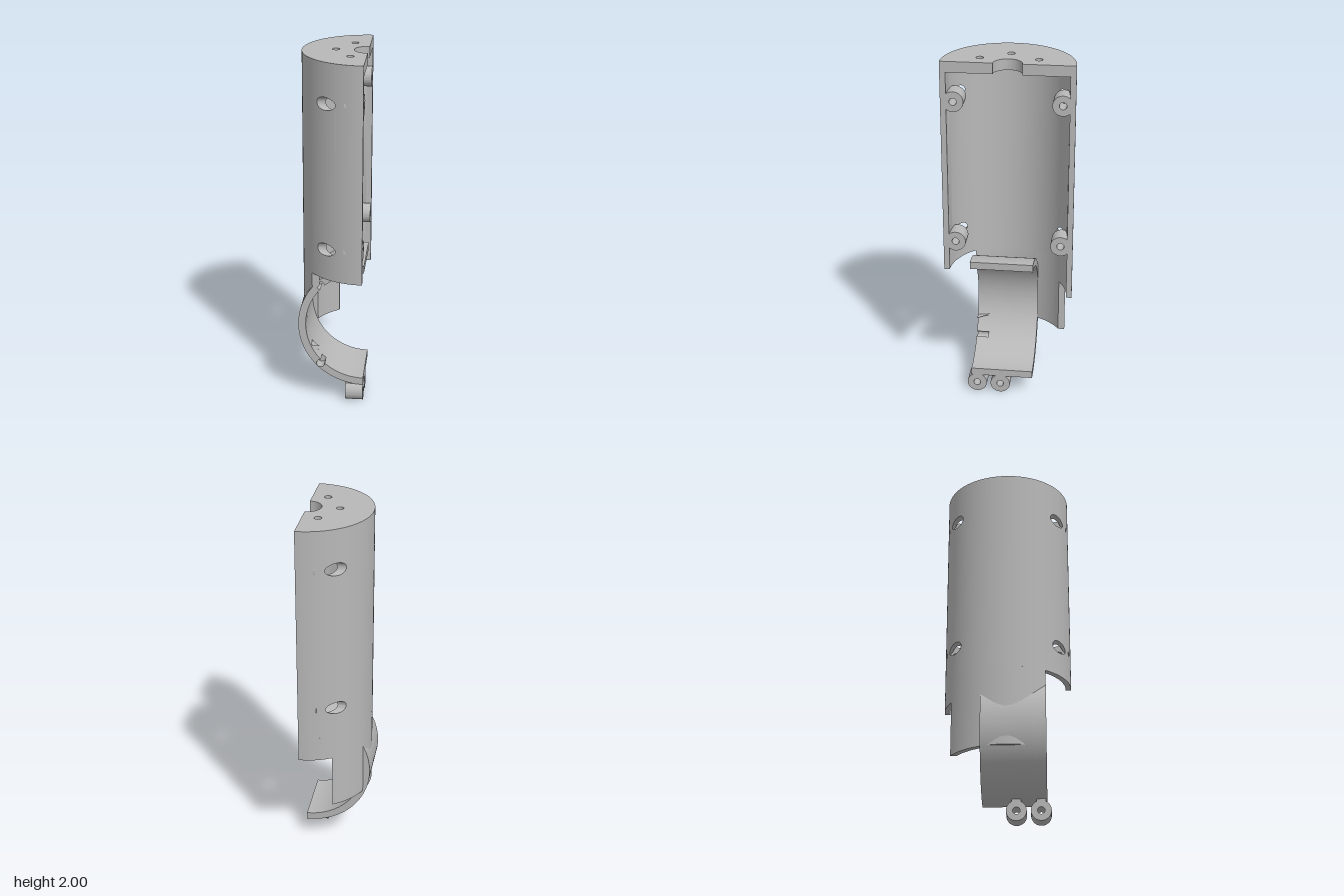
import * as THREE from 'three';
import { mergeGeometries, toCreasedNormals } from 'three/addons/utils/BufferGeometryUtils.js';

const AX = 0.18;                       // x of the cut plane and of both axes
const RO = 0.357, RI = 0.326;          // housing wall radii
const TOP = 2, SEAM = 0.79, FOOT = 0.34;
const CY = 0.473, CO = 0.367, CI = 0.325, CZ0 = -0.14, CZ1 = 0.213; // clamp ring
const SCREW_Y = [0.965, 1.78], SCREW_Z = 0.29, BORE = 0.035;
const HALF = Math.PI / 2;

// Wall edges: each returns the angle at which a plane cuts radius R
const atZ = z => R => Math.asin(Math.max(-1, Math.min(1, z / R)));
const atBackX = x => R => -Math.acos((AX - x) / R);
const atAngle = a => () => a;

// Curved wall block between two edges, with lower and upper limits as rules of (R, angle)
function wall(e0, e1, lo, hi, n = 24) {
  const pos = [];
  const f = v => (typeof v === 'function' ? v : () => v);
  const L = f(lo), H = f(hi);
  const tri = (a, b, c) => pos.push(...a, ...b, ...c);
  const quad = (a, b, c, d) => { tri(a, b, c); tri(a, c, d); };
  const section = i => {
    const t = 0.5 - 0.5 * Math.cos(Math.PI * i / n);
    const pt = (R, lim) => {
      const a = e0(R) + (e1(R) - e0(R)) * t;
      return [AX - R * Math.cos(a), lim(R, a), R * Math.sin(a)];
    };
    return { ol: pt(RO, L), oh: pt(RO, H), il: pt(RI, L), ih: pt(RI, H) };
  };
  let p = section(0);
  quad(p.il, p.ol, p.oh, p.ih);
  for (let i = 1; i <= n; i++) {
    const q = section(i);
    quad(p.ol, q.ol, q.oh, p.oh);
    quad(q.il, p.il, p.ih, q.ih);
    quad(p.oh, q.oh, q.ih, p.ih);
    quad(p.ol, p.il, q.il, q.ol);
    p = q;
  }
  quad(p.ol, p.il, p.ih, p.oh);
  const g = new THREE.BufferGeometry();
  g.setAttribute('position', new THREE.Float32BufferAttribute(pos, 3));
  return g;
}

// Half-height of a screw access hole, bored along x through the wall
const boreHalf = (R, a) =>
  Math.sqrt(Math.max(0, BORE ** 2 - (Math.abs(R * Math.sin(a)) - SCREW_Z) ** 2));

function housingGeometry() {
  const z0 = SCREW_Z - BORE, z1 = SCREW_Z + BORE;
  const parts = [wall(atZ(-z0), atZ(z0), SEAM, TOP, 40)];
  for (const [a, b] of [[atZ(z0), atZ(z1)], [atZ(-z1), atZ(-z0)]]) {
    let lo = SEAM;
    for (const y of SCREW_Y) {
      parts.push(wall(a, b, lo, (R, t) => y - boreHalf(R, t)));
      lo = (R, t) => y + boreHalf(R, t);
    }
    parts.push(wall(a, b, lo, TOP));
  }
  parts.push(wall(atZ(z1), atAngle(HALF), SEAM, TOP), wall(atAngle(-HALF), atZ(-z1), SEAM, TOP));
  return mergeGeometries(parts);
}

// Stepped lower wall, trimmed to the inside of the clamp ring
function skirtGeometry() {
  const mid = (CO + CI) / 2;
  const reach = (R, a) => Math.sqrt(Math.max(0, mid ** 2 - (R * Math.cos(a)) ** 2));
  return mergeGeometries([
    wall(atAngle(-HALF), atBackX(0), 0.65, SEAM),
    wall(atBackX(0), atZ(CZ0), FOOT, SEAM),
    wall(atZ(CZ0), atZ(CZ1), (R, a) => CY + reach(R, a), SEAM, 40),
    wall(atZ(CZ0), atZ(CZ1), FOOT, (R, a) => Math.max(FOOT, CY - reach(R, a)), 40),
  ]);
}

function circlePath(x, y, r) {
  return new THREE.Path().absarc(x, y, r, 0, Math.PI * 2, false);
}

function extrude(shape, depth, curveSegments = 32) {
  return new THREE.ExtrudeGeometry(shape, { depth, bevelEnabled: false, curveSegments });
}

// Half-disc lid layer with a cable notch and three holes
function lidLayer(holeRadius, depth) {
  const s = new THREE.Shape();
  s.absarc(0, 0, 0.335, HALF, 3 * HALF, false);
  s.absarc(0, 0, 0.078, 3 * HALF, HALF, true);
  for (const [x, y] of [[-0.085, 0.155], [-0.085, -0.155], [-0.175, 0]]) {
    s.holes.push(circlePath(x, y, holeRadius));
  }
  return extrude(s, depth, 48).rotateX(-HALF);
}

// Half ring; the notched version has two pin sockets open to the inside
function ringShape(notched) {
  const s = new THREE.Shape();
  s.absarc(0, 0, CO, HALF, 3 * HALF, false);
  let from = 3 * HALF;
  if (notched) {
    const c = 0.342, r = 0.0235;
    const d = Math.acos((CI * CI + c * c - r * r) / (2 * CI * c));
    const b = Math.atan2(CI * Math.sin(d), CI * Math.cos(d) - c);
    for (const a of [2.5 * HALF, 1.5 * HALF]) {
      s.absarc(0, 0, CI, from, a + d, true);
      s.absarc(c * Math.cos(a), c * Math.sin(a), r, a + b, a - b, true);
      from = a - d;
    }
  }
  s.absarc(0, 0, CI, from, HALF, true);
  return s;
}

// Hollow screw post lying along x, ending at the cut plane
function postGeometry() {
  const s = new THREE.Shape().absarc(0, 0, 0.056, 0, Math.PI * 2, false);
  s.holes.push(circlePath(0, 0, 0.02));
  return extrude(s, 0.1).rotateY(HALF);
}

export function createModel() {
  const model = new THREE.Group();
  const grey = new THREE.MeshStandardMaterial({ color: 0xb8b8b8 });
  grey.name = 'plainGrey';

  const add = (name, geometry, x = 0, y = 0, z = 0) => {
    const mesh = new THREE.Mesh(toCreasedNormals(geometry, 0.5), grey);
    mesh.name = name;
    mesh.position.set(x, y, z);
    model.add(mesh);
  };

  add('housingWall', housingGeometry());
  add('steppedSkirt', skirtGeometry());

  // Lid with counterbored holes
  add('lidLower', lidLayer(0.035, 0.03), AX, 1.94, 0);
  add('lidUpper', lidLayer(0.02, 0.03), AX, 1.97, 0);

  // Clamp ring
  const socketDepth = 0.07;
  add('clampRing', extrude(ringShape(false), CZ1 - CZ0 - socketDepth, 64), AX, CY, CZ0);
  add('clampRingSocketEnd', extrude(ringShape(true), socketDepth, 40), AX, CY, CZ1 - socketDepth);

  // Screw posts inside the housing
  for (const y of SCREW_Y) {
    for (const side of [1, -1]) add('screwPost', postGeometry(), AX - 0.1, y, side * SCREW_Z);
  }

  // Lugs under the clamp ring
  for (const z of [0.18, 0.046]) {
    add('clampLug', postGeometry(), AX - 0.1, 0.056, z);
    add('lugNeck', new THREE.BoxGeometry(0.1, 0.03, 0.05), AX - 0.05, 0.107, z);
  }
  return model;
}
